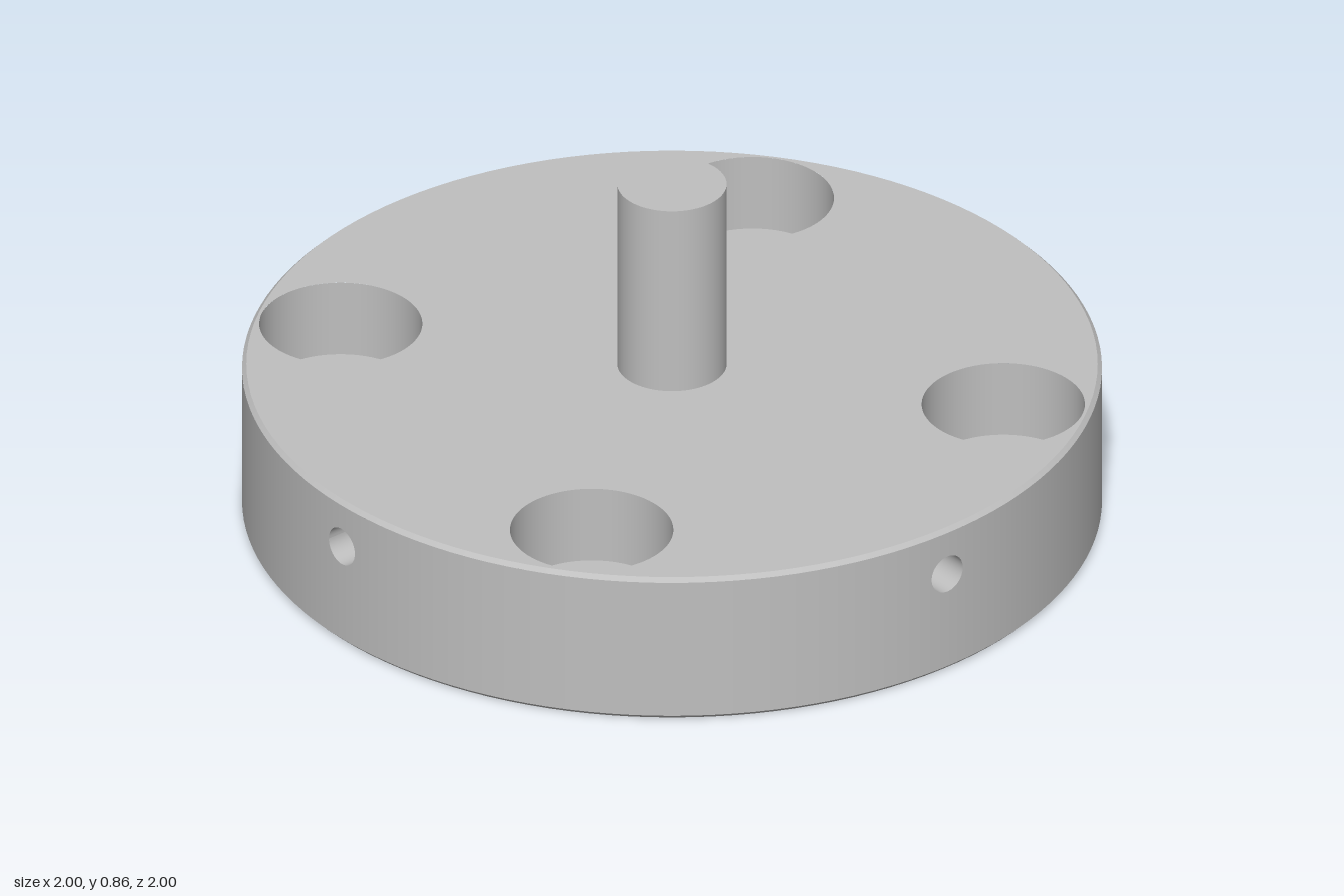
import * as THREE from 'three';

const R = 1, H = 0.377, CH = 0.01;              // disc radius, height, edge chamfer
const BOLT_R = 0.098, SINK_R = 0.19, SINK_Y = 0.185; // counterbored bolt holes
const BOLTS = [[0.785, 0.11], [-0.11, 0.785], [-0.785, -0.11], [0.11, -0.785]];
const PIN_R = 0.047, PIN_Y = 0.257, PIN_DEPTH = 0.3; // radial holes in the rim
const PIN_ANGLE = 0.777, PATCH = 0.15;          // first pin hole, half angle of its wall patch

// Grid surface facing du x dv; fn(u, v) returns [x, y, z]
function surface(nu, nv, fn, radialNormals) {
  const pos = [], nor = [], idx = [];
  for (let i = 0; i <= nu; i++) {
    for (let j = 0; j <= nv; j++) {
      const [x, y, z] = fn(i / nu, j / nv);
      pos.push(x, y, z);
      const l = Math.hypot(x, z);
      nor.push(x / l, 0, z / l);
      if (i < nu && j < nv) {
        const a = i * (nv + 1) + j, b = a + nv + 1;
        idx.push(a, b, b + 1, a, b + 1, a + 1);
      }
    }
  }
  const g = new THREE.BufferGeometry();
  g.setAttribute('position', new THREE.Float32BufferAttribute(pos, 3));
  g.setIndex(idx);
  if (radialNormals) g.setAttribute('normal', new THREE.Float32BufferAttribute(nor, 3));
  else g.computeVertexNormals();
  return g;
}

const lathe = (pts, n) => new THREE.LatheGeometry(pts.map(p => new THREE.Vector2(...p)), n);
const onWall = (t, y) => [R * Math.cos(t), y, R * Math.sin(t)];

export function createModel() {
  const model = new THREE.Group();
  const steel = new THREE.MeshStandardMaterial({ color: 0xbfbfbf });
  steel.name = 'grey steel';
  const add = (name, geometry, parent = model) => {
    const m = new THREE.Mesh(geometry, steel);
    m.name = name;
    parent.add(m);
    return m;
  };

  // Flat faces of the disc, pierced by the bolt holes
  const face = (holeR, sign) => {
    const s = new THREE.Shape().absarc(0, 0, R - CH, 0, Math.PI * 2);
    for (const [x, z] of BOLTS) {
      s.holes.push(new THREE.Path().absarc(x, sign * z, holeR, 0, Math.PI * 2, true));
    }
    return new THREE.ShapeGeometry(s, 64).rotateX(sign * Math.PI / 2);
  };
  add('discTop', face(SINK_R, -1)).position.y = H;
  add('discBottom', face(BOLT_R, 1));

  // Chamfered edges
  add('lowerChamfer', lathe([[R - CH, 0], [R, CH]], 128));
  add('upperChamfer', lathe([[R, H - CH], [R - CH, H]], 128));

  // Counterbored bolt holes
  for (const [x, z] of BOLTS) {
    const hole = new THREE.Group();
    hole.name = 'boltHole';
    hole.position.set(x, 0, z);
    add('counterboreWall', lathe([[SINK_R, H], [SINK_R, SINK_Y]], 64), hole);
    add('counterboreFloor', lathe([[SINK_R, SINK_Y], [BOLT_R, SINK_Y]], 64), hole);
    add('throughWall', lathe([[BOLT_R, SINK_Y], [BOLT_R, 0]], 64), hole);
    model.add(hole);
  }

  // Rim wall in four sectors, each with one radial pin hole
  const up = H - CH - PIN_Y, down = PIN_Y - CH;
  for (let k = 0; k < 4; k++) {
    const sector = new THREE.Group();
    sector.name = 'rimSector';
    sector.rotation.y = -(PIN_ANGLE + k * Math.PI / 2);
    model.add(sector);

    add('rimWall', surface(1, 28, (u, v) =>
      onWall(PATCH + v * (Math.PI / 2 - 2 * PATCH), CH + u * (H - 2 * CH)), true), sector);

    // Wall patch running from the round hole out to a rectangle
    add('rimHolePatch', surface(48, 4, (u, v) => {
      const a = u * Math.PI * 2, c = Math.cos(a), s = Math.sin(a);
      const q = 1 / Math.max(Math.abs(c), Math.abs(s));
      const t = THREE.MathUtils.lerp(Math.asin(PIN_R * c / R), PATCH * c * q, v);
      const y = THREE.MathUtils.lerp(PIN_R * s, (s > 0 ? up : down) * s * q, v);
      return onWall(t, PIN_Y + y);
    }, true), sector);

    add('pinHoleWall', surface(48, 1, (u, v) => {
      const a = u * Math.PI * 2, z = PIN_R * Math.cos(a);
      const x = THREE.MathUtils.lerp(R - PIN_DEPTH, Math.sqrt(R * R - z * z), v);
      return [x, PIN_Y + PIN_R * Math.sin(a), z];
    }, false), sector);

    const end = add('pinHoleEnd', new THREE.CircleGeometry(PIN_R, 48), sector);
    end.position.set(R - PIN_DEPTH, PIN_Y, 0);
    end.rotation.y = Math.PI / 2;
  }

  // Central shaft
  const top = 0.86;
  add('shaft', new THREE.CylinderGeometry(0.127, 0.127, top - H, 64)).position.y = (top + H) / 2;

  return model;
}
